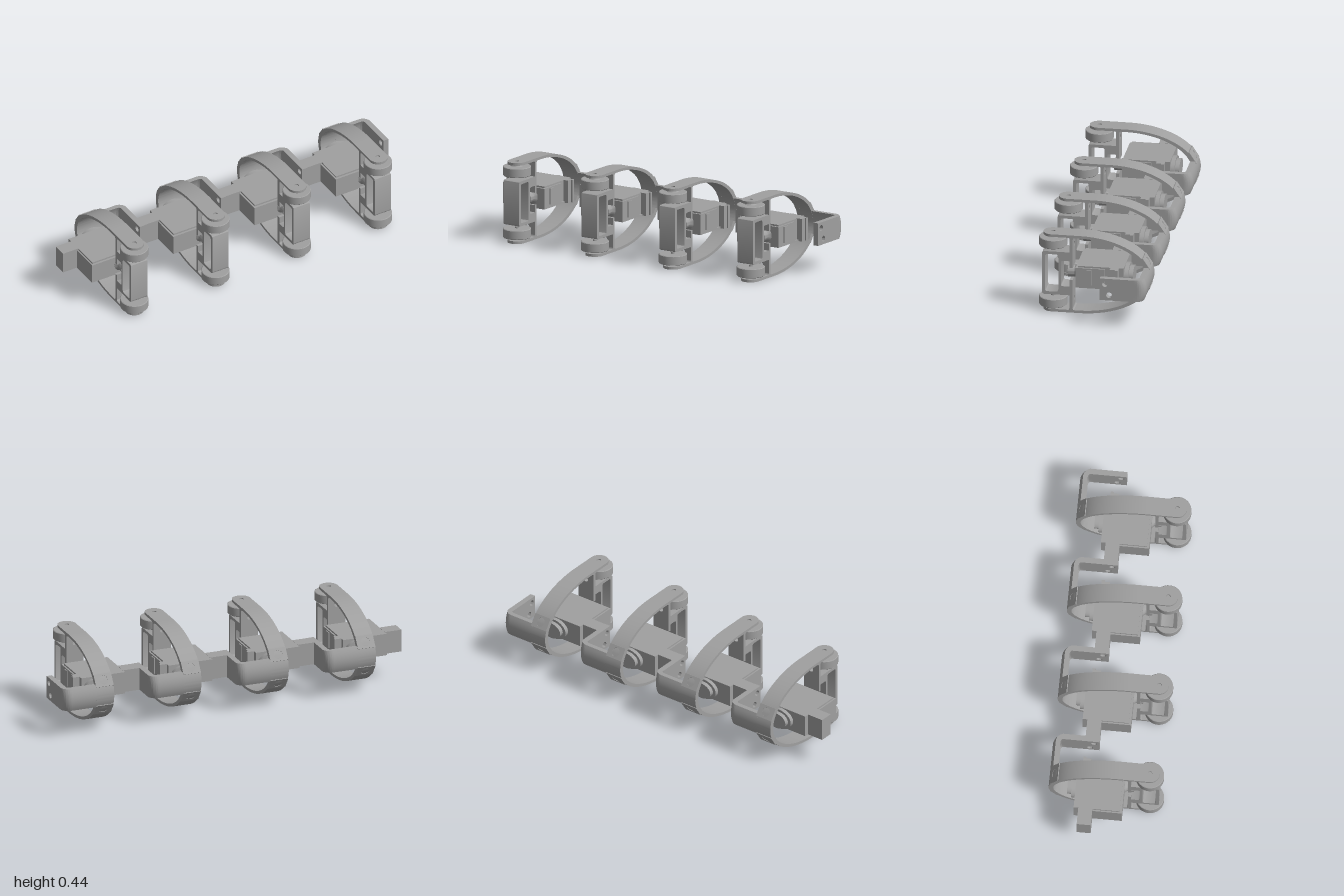
import * as THREE from 'three';
import { toCreasedNormals } from 'three/addons/utils/BufferGeometryUtils.js';

const MID = 0.2225; // height of the chain's axis
const grey = new THREE.MeshStandardMaterial({ color: 0xa0a0a0 });
grey.name = 'grey plastic';

function add(parent, name, geo, x = 0, y = 0, z = 0) {
  const m = new THREE.Mesh(geo, grey);
  m.name = name;
  m.position.set(x, y, z);
  parent.add(m);
  return m;
}
const box = (p, name, x0, x1, y0, y1, z0, z1) =>
  add(p, name, new THREE.BoxGeometry(x1 - x0, y1 - y0, z1 - z0), (x0 + x1) / 2, (y0 + y1) / 2, (z0 + z1) / 2);

const extrude = (shape, depth, steps = 1) =>
  new THREE.ExtrudeGeometry(shape, { depth, steps, bevelEnabled: false, curveSegments: 20 }).translate(0, 0, -depth / 2);
// profile (z, y) extruded along x
const alongX = (shape, depth) => toCreasedNormals(extrude(shape, depth).rotateY(-Math.PI / 2), 0.6);
// profile (x, z) extruded along y
const alongY = (shape, depth, steps) => extrude(shape, depth, steps).rotateX(Math.PI / 2);

function roundRect(s, x0, x1, y0, y1, r) {
  s.moveTo(x0 + r, y0);
  s.lineTo(x1 - r, y0); s.quadraticCurveTo(x1, y0, x1, y0 + r);
  s.lineTo(x1, y1 - r); s.quadraticCurveTo(x1, y1, x1 - r, y1);
  s.lineTo(x0 + r, y1); s.quadraticCurveTo(x0, y1, x0, y1 - r);
  s.lineTo(x0, y0 + r); s.quadraticCurveTo(x0, y0, x0 + r, y0);
  return s;
}
function hole(shape, x, y, r) {
  shape.holes.push(new THREE.Path().absarc(x, y, r, 0, Math.PI * 2, true));
}

// Point on the hoop ellipse (z, y); angle 0 is the rearmost point
const onHoop = (a, b, t) => new THREE.Vector2(0.08 - a * Math.cos(t), MID + b * Math.sin(t));
const outer = t => onHoop(0.385, 0.2205, t);
const inner = t => onHoop(0.36, 0.206, t);

function hoopArc(t0, t1, n) {
  const pts = [];
  for (let i = 0; i <= n; i++) pts.push(outer(t0 + (t1 - t0) * i / n));
  for (let i = n; i >= 0; i--) pts.push(inner(t0 + (t1 - t0) * i / n));
  return alongX(new THREE.Shape(pts), 0.1);
}

function makeHoop(unit) {
  const g = new THREE.Group();
  g.name = 'hoop';
  const t0 = 0.23, t1 = 0.5;
  add(g, 'hoopBack', hoopArc(-t0, t0, 14));
  for (const s of [1, -1]) {
    add(g, 'hoopSide', hoopArc(s * t0, s * Math.PI / 2, 32));

    // drilled section of the hoop
    const p = outer(s * t0), q = outer(s * t1), d = q.clone().sub(p);
    const len = d.length() + 0.004;
    const plate = new THREE.Shape();
    plate.moveTo(-0.05, -len / 2); plate.lineTo(0.05, -len / 2);
    plate.lineTo(0.05, len / 2); plate.lineTo(-0.05, len / 2);
    hole(plate, 0, 0, 0.024);
    const c = outer(s * (t0 + t1) / 2).add(inner(s * (t0 + t1) / 2)).multiplyScalar(0.5);
    const m = add(g, 'drilledHoopSection', extrude(plate, 0.024), 0, c.y, c.x);
    m.rotation.x = Math.atan2(d.x, d.y);

    // straight arm with rounded tip that carries the wheel
    const tip = new THREE.Shape();
    tip.moveTo(-0.05, 0.08); tip.lineTo(0.05, 0.08); tip.lineTo(0.05, 0.232);
    tip.absarc(0, 0.232, 0.05, 0, Math.PI, false);
    hole(tip, 0, 0.23, 0.012);
    add(g, 'wheelArm', toCreasedNormals(alongY(tip, 0.0145), 0.6), 0, MID + s * 0.21325, 0);
  }
  unit.add(g);
}

function makeWheels(unit) {
  for (const s of [1, -1]) {
    const profile = [[0.012, -0.025], [0.072, -0.025], [0.075, -0.022], [0.075, 0.022], [0.072, 0.025],
      [0.032, 0.025], [0.02, 0.0375], [0.012, 0.0375], [0.012, -0.025]].map(p => new THREE.Vector2(...p));
    const wheel = add(unit, 'wheel', toCreasedNormals(new THREE.LatheGeometry(profile, 40), 0.5), 0, MID + s * 0.169, 0.23);
    if (s < 0) wheel.rotation.x = Math.PI;
    add(unit, 'wheelPin', new THREE.CylinderGeometry(0.011, 0.011, 0.08, 16), 0, MID + s * 0.175, 0.23);
  }
}

function makeFrame(unit) {
  // open frame between the wheels, notched around the horn
  const f = new THREE.Shape();
  f.moveTo(0.12, 0.1); f.lineTo(0.27, 0.1); f.quadraticCurveTo(0.282, 0.1, 0.282, 0.112);
  f.lineTo(0.282, 0.333); f.quadraticCurveTo(0.282, 0.345, 0.27, 0.345);
  f.lineTo(0.12, 0.345); f.lineTo(0.12, 0.295);
  f.lineTo(0.17, 0.295); f.quadraticCurveTo(0.181, 0.295, 0.181, 0.284);
  f.lineTo(0.181, 0.161); f.quadraticCurveTo(0.181, 0.15, 0.17, 0.15);
  f.lineTo(0.12, 0.15);
  f.holes.push(roundRect(new THREE.Path(), 0.195, 0.266, 0.116, 0.329, 0.012));
  add(unit, 'frontFrame', alongX(f, 0.1));

  // cross bar, split around the horn
  for (const s of [1, -1]) {
    const bar = new THREE.Shape();
    bar.moveTo(-0.05, 0.034); bar.lineTo(0.05, 0.034); bar.lineTo(0.05, 0.21); bar.lineTo(-0.05, 0.21);
    hole(bar, 0, 0.155, 0.013);
    const m = add(unit, 'crossBar', extrude(bar, 0.016), 0, MID, 0.126);
    if (s < 0) m.rotation.z = Math.PI;
    // corner fillets between bar and hoop
    for (const e of [1, -1]) {
      const c = new THREE.Shape();
      c.moveTo(0, 0); c.lineTo(e * 0.012, 0); c.quadraticCurveTo(0, 0, 0, -s * 0.012);
      add(unit, 'fillet', alongX(c, 0.1), 0, MID + s * 0.207, 0.126 + e * 0.008);
    }
  }
}

function makeServo(unit) {
  const g = new THREE.Group();
  g.name = 'servo';
  box(g, 'servoBody', -0.172, 0.078, 0.163, 0.284, -0.16, 0.085);
  box(g, 'servoShell', -0.18, 0.086, 0.17, 0.275, -0.06, 0.097);
  box(g, 'servoBase', -0.18, 0.086, 0.162, 0.17, -0.1, 0.097);
  box(g, 'mountBlock', -0.265, -0.17, 0.162, 0.285, -0.135, -0.06);
  box(g, 'rightFlange', 0.075, 0.108, 0.162, 0.285, -0.135, -0.09);
  box(g, 'flangeLip', 0.1, 0.117, 0.162, 0.285, -0.135, -0.118);
  box(g, 'sidePort', 0.084, 0.091, 0.18, 0.267, 0.012, 0.049);

  // output horn towards the front
  const horn = [[0, 0.08], [0.042, 0.08], [0.042, 0.098], [0.034, 0.105], [0.03, 0.112], [0.032, 0.13],
    [0.032, 0.148], [0, 0.148]].map(p => new THREE.Vector2(...p));
  add(g, 'outputHorn', toCreasedNormals(new THREE.LatheGeometry(horn, 32).rotateX(Math.PI / 2), 0.5), 0, MID, 0);

  // stepped cap at the back
  for (const [r, z0] of [[0.08, -0.182], [0.062, -0.205]]) {
    const cap = new THREE.CylinderGeometry(r, r, -0.15 - z0, 32).rotateX(Math.PI / 2).scale(1, 0.72, 1);
    add(g, 'backCap', cap, -0.012, MID, (z0 - 0.15) / 2);
  }
  unit.add(g);
}

function makeLinkBracket(unit) {
  // arm with rounded corner, bent to follow the curve of the hoop
  const s = new THREE.Shape();
  s.moveTo(0.04, -0.305); s.lineTo(0.19, -0.305);
  s.absarc(0.19, -0.26, 0.045, -Math.PI / 2, 0, false);
  s.lineTo(0.235, -0.235); s.lineTo(0.205, -0.235); s.lineTo(0.205, -0.26);
  s.absarc(0.185, -0.26, 0.02, 0, -Math.PI / 2, true);
  s.lineTo(0.04, -0.28);
  const geo = alongY(s, 0.123, 10);
  const pos = geo.attributes.position;
  for (let i = 0; i < pos.count; i++) {
    const y = pos.getY(i), z = pos.getZ(i);
    const bend = 0.385 * (1 - Math.sqrt(1 - (y / 0.2205) ** 2));
    const weight = THREE.MathUtils.clamp((-0.235 - z) / 0.045, 0, 1);
    pos.setZ(i, z + bend * weight);
  }
  add(unit, 'linkArm', toCreasedNormals(geo, 0.6), 0, MID + 0.001, 0);

  // drilled plate that bolts to the next servo
  const p = new THREE.Shape();
  p.moveTo(-0.236, 0.162); p.lineTo(-0.058, 0.162); p.lineTo(-0.058, 0.285); p.lineTo(-0.236, 0.285);
  hole(p, -0.087, 0.254, 0.016);
  hole(p, -0.108, 0.192, 0.016);
  add(unit, 'linkPlate', alongX(p, 0.03), 0.22, 0, 0);
}

export function createModel() {
  const model = new THREE.Group();
  model.name = 'segmentedCrawler';
  for (let i = 0; i < 4; i++) {
    const unit = new THREE.Group();
    unit.name = 'segment' + (i + 1);
    unit.position.x = -0.735 + i * 0.5;
    makeHoop(unit);
    makeWheels(unit);
    makeFrame(unit);
    makeServo(unit);
    makeLinkBracket(unit);
    model.add(unit);
  }
  return model;
}
